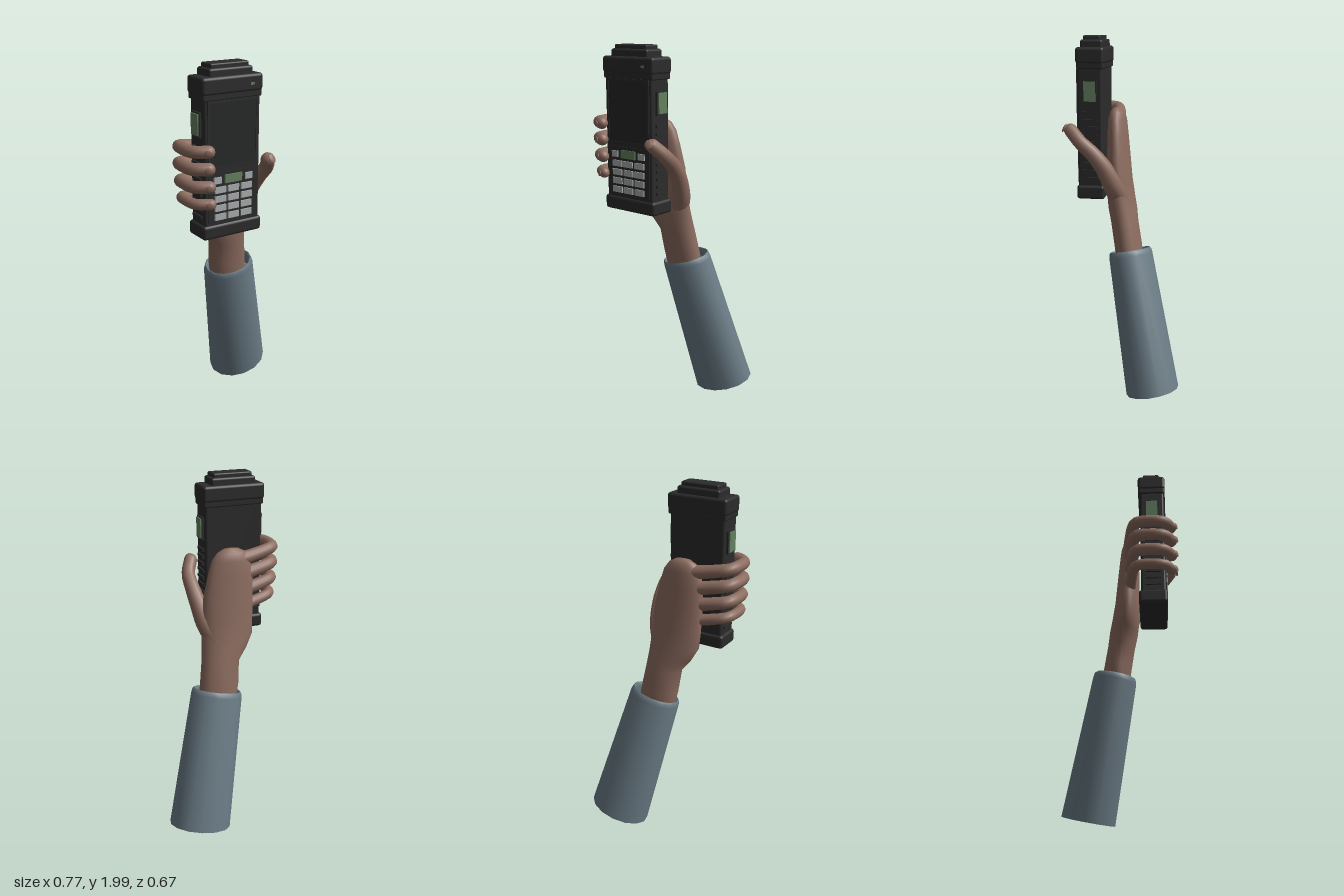
import * as THREE from 'three';
import { toCreasedNormals } from 'three/addons/utils/BufferGeometryUtils.js';
import { RoundedBoxGeometry } from 'three/addons/geometries/RoundedBoxGeometry.js';

const V = (x, y, z) => new THREE.Vector3(x, y, z);
const mat = (name, color) => {
  const m = new THREE.MeshStandardMaterial({ color });
  m.name = name;
  return m;
};

// Smooth skin through closed rings of points
function loft(rings) {
  const n = rings[0].length, pos = [], idx = [];
  rings.forEach((r) => r.forEach((p) => pos.push(p.x, p.y, p.z)));
  for (let i = 0; i < rings.length - 1; i++) {
    for (let j = 0; j < n; j++) {
      const a = i * n + j, b = i * n + (j + 1) % n;
      idx.push(a, b, a + n, b, b + n, a + n);
    }
  }
  const g = new THREE.BufferGeometry();
  g.setAttribute('position', new THREE.Float32BufferAttribute(pos, 3));
  g.setIndex(idx);
  g.computeVertexNormals();
  return g;
}

// Tapered tube along points [x, y, z, radius] with a round tip
function limb(pts, steps = 24, sides = 14) {
  const curve = new THREE.CatmullRomCurve3(pts.map((p) => V(p[0], p[1], p[2])));
  const f = curve.computeFrenetFrames(steps, false);
  const rings = [];
  const ring = (c, r, k) => rings.push(Array.from({ length: sides }, (_, j) => {
    const a = j / sides * Math.PI * 2;
    return c.clone().addScaledVector(f.normals[k], r * Math.cos(a)).addScaledVector(f.binormals[k], r * Math.sin(a));
  }));
  for (let i = 0; i <= steps; i++) {
    const t = curve.getUtoTmapping(i / steps) * (pts.length - 1);
    const k = Math.min(Math.floor(t), pts.length - 2);
    ring(curve.getPointAt(i / steps), THREE.MathUtils.lerp(pts[k][3], pts[k + 1][3], t - k), i);
  }
  const end = pts[pts.length - 1];
  for (let i = 1; i <= 5; i++) {
    const a = i / 5 * Math.PI / 2;
    const c = V(end[0], end[1], end[2]).addScaledVector(f.tangents[steps], end[3] * Math.sin(a));
    ring(c, Math.max(end[3] * Math.cos(a), 0.0005), steps);
  }
  return loft(rings);
}

export function createModel() {
  const casing = mat('casing black', 0x2b2b2b);
  const glass = mat('screen black', 0x262727);
  const keyGrey = mat('key grey', 0xa9adad);
  const green = mat('display green', 0x64805f);
  const skin = mat('skin', 0x8c6c5f);
  const cloth = mat('sleeve blue grey', 0x6a7b85);

  const model = new THREE.Group();
  const device = new THREE.Group();
  device.name = 'handheldDevice';
  const hand = new THREE.Group();
  hand.name = 'hand';
  model.add(device, hand);

  const add = (parent, name, geo, m, x = 0, y = 0, z = 0) => {
    const mesh = new THREE.Mesh(geo, m);
    mesh.name = name;
    mesh.position.set(x, y, z);
    parent.add(mesh);
    return mesh;
  };
  const rounded = (name, x0, x1, y0, y1, z0, z1, r) => add(device, name,
    new RoundedBoxGeometry(x1 - x0, y1 - y0, z1 - z0, 2, r), casing, (x0 + x1) / 2, (y0 + y1) / 2, (z0 + z1) / 2);
  const plate = (name, x, y, z, w, h, d, m) => add(device, name, new THREE.BoxGeometry(w, h, d), m, x, y, z);

  // Device casing, end caps and stepped top
  const cx = -0.122;
  rounded('deviceBody', -0.286, 0.042, 1.16, 1.88, 0.122, 0.258, 0.012);
  rounded('topCap', -0.299, 0.055, 1.852, 1.94, 0.11, 0.266, 0.016);
  rounded('topCapLip', -0.294, 0.05, 1.825, 1.87, 0.115, 0.261, 0.008);
  rounded('bottomCap', -0.299, 0.055, 1.113, 1.19, 0.11, 0.266, 0.016);
  rounded('topStep', -0.25, 0.004, 1.92, 1.978, 0.125, 0.248, 0.012);
  rounded('topPlug', -0.234, -0.012, 1.96, 2.0, 0.14, 0.235, 0.008);

  // Screen with raised frame
  plate('screen', cx, 1.655, 0.259, 0.272, 0.32, 0.006, glass);
  for (const s of [-1, 1]) {
    plate('screenFrameSide', cx + s * 0.142, 1.655, 0.26, 0.012, 0.345, 0.01, casing);
    plate('screenFrameEnd', cx, 1.655 + s * 0.166, 0.26, 0.284, 0.012, 0.01, casing);
  }

  // Keypad
  plate('keypadPanel', cx, 1.335, 0.259, 0.29, 0.265, 0.006, casing);
  for (let row = 0; row < 4; row++) {
    for (let col = -1; col <= 1; col++) {
      plate('key', cx + col * 0.079, 1.375 - row * 0.048, 0.265, 0.066, 0.033, 0.009, keyGrey);
    }
  }
  plate('displayKey', cx, 1.428, 0.265, 0.102, 0.044, 0.009, green);
  for (const s of [-1, 1]) plate('cornerKey', cx + s * 0.094, 1.426, 0.265, 0.044, 0.034, 0.009, keyGrey);
  plate('statusLight', -0.011, 1.892, 0.265, 0.022, 0.013, 0.005, green);

  // Side windows and grip ribs, mirrored
  for (const s of [-1, 1]) {
    plate('sideWindowFrame', cx + s * 0.168, 1.708, 0.188, 0.014, 0.125, 0.08, casing);
    plate('sideWindow', cx + s * 0.178, 1.708, 0.188, 0.008, 0.108, 0.064, green);
    for (let i = 0; i < 10; i++) plate('gripRib', cx + s * 0.167, 1.23 + i * 0.04, 0.188, 0.014, 0.016, 0.085, casing);
  }

  // Wrist and palm: y, centre x, centre z, half width, half depth
  const sections = [
    [0.76, 0.035, -0.03, 0.112, 0.073],
    [0.85, 0.02, -0.02, 0.114, 0.077],
    [0.98, 0.005, 0.002, 0.11, 0.076],
    [1.05, -0.025, 0.017, 0.133, 0.079],
    [1.12, -0.046, 0.03, 0.15, 0.076],
    [1.22, -0.052, 0.04, 0.15, 0.07],
    [1.35, -0.06, 0.046, 0.146, 0.063],
    [1.47, -0.073, 0.052, 0.13, 0.056],
    [1.55, -0.077, 0.055, 0.11, 0.05],
    [1.59, -0.08, 0.056, 0.082, 0.04],
    [1.61, -0.08, 0.057, 0.045, 0.022],
    [1.614, -0.08, 0.057, 0.001, 0.001],
  ];
  add(hand, 'palmAndWrist', loft(sections.map(([y, x, z, w, d]) => Array.from({ length: 24 }, (_, j) => {
    const a = j / 24 * Math.PI * 2;
    return V(x + w * Math.sin(a), y, z + d * Math.cos(a));
  }))), skin);

  // Four fingers wrapping round the device
  const nail = new THREE.SphereGeometry(1, 12, 8);
  [[1.588, 0.033, 0], [1.5, 0.034, 0], [1.408, 0.033, 0.004], [1.318, 0.029, 0.01]].forEach(([y, r, inset]) => {
    add(hand, 'finger', limb([
      [-0.09, y - 0.045, 0.055, r * 1.25],
      [-0.2, y - 0.03, 0.063, r * 1.1],
      [-0.335 + inset, y - 0.003, 0.092, r],
      [-0.35 + inset, y, 0.12, r],
      [-0.352 + inset, y, 0.235, r * 0.95],
      [-0.335 + inset, y, 0.262, r * 0.97],
      [-0.285 + inset, y, 0.292, r],
    ]), skin);
    const n = add(hand, 'fingernail', nail, skin, -0.3 + inset, y, 0.287 + r);
    n.scale.set(0.022, 0.018, 0.006);
    n.rotation.y = -0.5;
  });

  // Thumb
  add(hand, 'thumb', limb([
    [0.02, 1.1, 0.02, 0.06],
    [0.07, 1.2, 0.058, 0.055],
    [0.096, 1.3, 0.105, 0.047],
    [0.109, 1.38, 0.165, 0.041],
    [0.108, 1.44, 0.23, 0.038],
    [0.073, 1.5, 0.29, 0.037],
  ]), skin);
  const thumbnail = add(hand, 'thumbnail', nail, skin, 0.075, 1.512, 0.325);
  thumbnail.scale.set(0.022, 0.026, 0.007);
  thumbnail.rotation.set(-0.5, 0.2, 0.4);

  // Tapered sleeve with a rolled cuff
  const bottom = V(0.206, 0.052, -0.186), axis = V(0.037, 0.825, -0.032).sub(bottom);
  const L = axis.length();
  const profile = [[0, 0], [0.18, 0], [0.149, L - 0.03], [0.145, L - 0.01], [0.137, L], [0.129, L - 0.005],
    [0.125, L - 0.03], [0.123, L - 0.08], [0, L - 0.08]].map(([r, y]) => new THREE.Vector2(r, y));
  const sleeveGeo = new THREE.LatheGeometry(profile, 14, Math.PI / 2);
  sleeveGeo.scale(1, 1, 0.82);
  const sleeve = add(model, 'sleeve', toCreasedNormals(sleeveGeo, 1), cloth, bottom.x, bottom.y, bottom.z);
  sleeve.quaternion.setFromUnitVectors(V(0, 1, 0), axis.normalize());

  return model;
}
